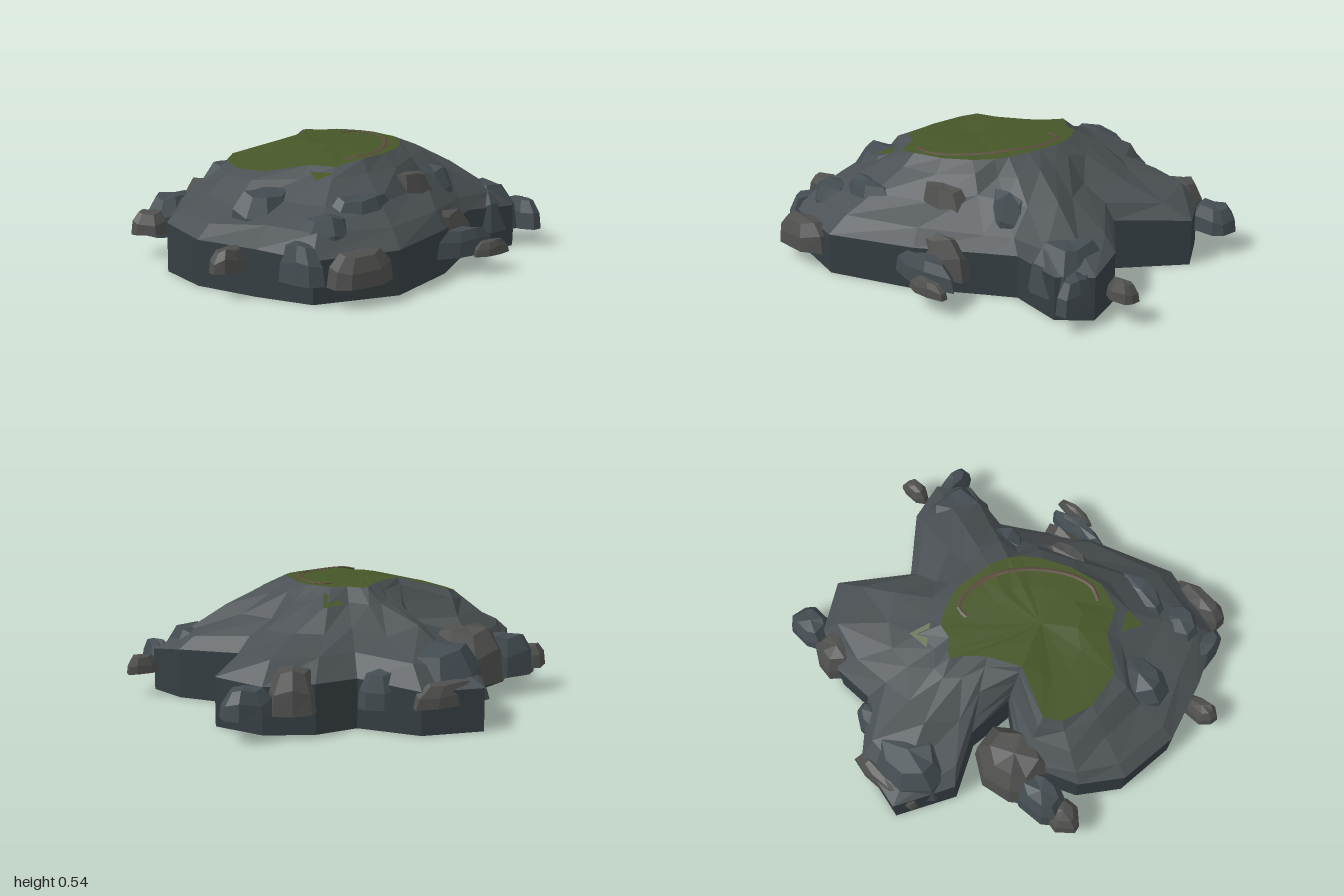
import * as THREE from 'three';

const mat = (color) => new THREE.MeshStandardMaterial({ color, flatShading: true, side: THREE.DoubleSide });

// small seeded generator, returns -1..1
function seeded(seed) {
  let s = seed * 7919 + 17;
  return () => {
    s = (s * 16807) % 2147483647;
    return (s / 2147483647) * 2 - 1;
  };
}

// faceted skin between closed rings of Vector3
function loft(rings) {
  const pos = [];
  const tri = (...pts) => pts.forEach((p) => pos.push(p.x, p.y, p.z));
  for (let r = 0; r < rings.length - 1; r++) {
    const lo = rings[r], hi = rings[r + 1], n = lo.length;
    for (let i = 0; i < n; i++) {
      const j = (i + 1) % n;
      tri(lo[i], hi[i], lo[j]);
      tri(lo[j], hi[i], hi[j]);
    }
  }
  const geo = new THREE.BufferGeometry();
  geo.setAttribute('position', new THREE.Float32BufferAttribute(pos, 3));
  geo.computeVertexNormals();
  return geo;
}

// height of the grassy top: falls away to the right side and the front
const topY = (x, z) => 0.54 - 0.27 * Math.max(0, -x - 0.2) - 0.12 * Math.max(0, z - 0.2);

// foot x, foot z, grass edge x, grass edge z, cliff height
const OUTLINE = [
  [0.58, -0.03, 0.27, 0, 0.24], [0.78, 0.22, 0.25, 0.1, 0.23],
  [0.83, 0.42, 0.24, 0.17, 0.2], [0.7, 0.53, 0.2, 0.26, 0.2],
  [0.45, 0.48, 0.16, 0.31, 0.2], [0.33, 0.55, 0.08, 0.37, 0.2],
  [0.05, 0.72, -0.05, 0.43, 0.2], [-0.35, 0.86, -0.2, 0.46, 0.19],
  [-0.72, 0.75, -0.33, 0.42, 0.18], [-0.82, 0.5, -0.38, 0.3, 0.2],
  [-0.9, 0.2, -0.53, 0.18, 0.2], [-0.86, -0.1, -0.55, 0, 0.22],
  [-0.72, -0.27, -0.5, -0.15, 0.22], [-0.45, -0.38, -0.43, -0.2, 0.24],
  [-0.22, -0.2, -0.21, -0.1, 0.28], [-0.19, -0.42, -0.06, -0.17, 0.24],
  [-0.3, -0.66, 0.02, -0.24, 0.2], [-0.15, -0.92, 0.06, -0.29, 0.19],
  [0.12, -0.85, 0.09, -0.27, 0.19], [0.3, -0.62, 0.13, -0.22, 0.22],
  [0.5, -0.62, 0.2, -0.2, 0.22], [0.7, -0.52, 0.23, -0.15, 0.21],
  [0.82, -0.3, 0.26, -0.08, 0.22],
];

// boulders: x, z, half width, half depth, bottom, top
const BOULDERS = [
  // front left outcrop
  [[0.63, 0.36, 0.2, 0.19, 0.08, 0.31], [0.92, 0.35, 0.08, 0.05, 0.11, 0.2], [0.79, 0.5, 0.06, 0.12, 0.08, 0.23]],
  // front ledges
  [[0.09, 0.63, 0.21, 0.08, 0.08, 0.27], [0.15, 0.74, 0.18, 0.06, 0.08, 0.2], [0.24, 0.82, 0.11, 0.035, 0.08, 0.15],
    [-0.34, 0.61, 0.19, 0.1, 0.18, 0.39], [0.02, 0.5, 0.17, 0.08, 0.2, 0.44], [0.3, 0.36, 0.14, 0.12, 0.2, 0.43]],
  // front right corner
  [[-0.56, 0.64, 0.15, 0.11, 0.15, 0.34], [-0.55, 0.84, 0.18, 0.08, 0.08, 0.22], [-0.72, 0.66, 0.07, 0.14, 0.08, 0.25],
    [-0.9, 0.42, 0.1, 0.06, 0.11, 0.21], [-0.6, 0.28, 0.18, 0.15, 0.2, 0.4]],
  // back right cluster
  [[-0.42, -0.38, 0.2, 0.17, 0.08, 0.34], [-0.62, -0.42, 0.16, 0.11, 0.09, 0.29], [-0.75, -0.41, 0.1, 0.08, 0.11, 0.22],
    [-0.12, -0.28, 0.1, 0.12, 0.1, 0.38]],
  // back spur
  [[-0.05, -0.7, 0.25, 0.18, 0.1, 0.36], [-0.03, -0.85, 0.2, 0.05, 0.12, 0.23], [0.22, -0.67, 0.1, 0.09, 0.1, 0.27]],
  // back left cluster
  [[0.57, -0.55, 0.13, 0.12, 0.1, 0.3], [0.78, -0.53, 0.13, 0.1, 0.1, 0.23]],
];
const CLUSTERS = ['frontLeftBoulders', 'frontLedges', 'frontRightBoulders', 'backRightBoulders', 'backSpurBoulders', 'backLeftBoulders'];

// chunky flat-bottomed stone tapering upward
function boulder([x, z, rx, rz, y0, y1], seed) {
  const rnd = seeded(seed), n = 8;
  const wobble = Array.from({ length: n }, () => [0.96 + 0.09 * rnd(), 0.25 * rnd(), rnd()]);
  const ring = (scale, t, lift) => wobble.map(([r, da, h], i) => {
    const a = ((i + 0.5 + da) / n) * Math.PI * 2;
    return new THREE.Vector3(
      x + Math.cos(a) * rx * r * scale,
      y0 + (y1 - y0) * (t + lift * h),
      z + Math.sin(a) * rz * r * scale);
  });
  return loft([ring(0, 0, 0), ring(1, 0, 0), ring(0.92, 0.5, 0.12), ring(0.6, 0.9, 0.08), ring(0, 0.97, 0)]);
}

export function createModel() {
  const group = new THREE.Group();
  const slopeMat = mat(0x4a5053), baseMat = mat(0x353e42), grassMat = mat(0x465628), pathMat = mat(0x5a4c3c);
  const stoneMats = [mat(0x434c51), mat(0x4f4f4e)];
  const add = (name, geo, material, parent = group) => {
    const mesh = new THREE.Mesh(geo, material);
    mesh.name = name;
    parent.add(mesh);
  };

  // vertical cliff foot and its underside
  const foot = OUTLINE.map(([x, z]) => new THREE.Vector3(x, 0, z));
  const rim = OUTLINE.map(([x, z, , , h]) => new THREE.Vector3(x, h, z));
  add('cliffFoot', loft([foot, rim]), baseMat);
  const floor = new THREE.ShapeGeometry(new THREE.Shape(OUTLINE.map(([x, z]) => new THREE.Vector2(x, z))));
  add('underside', floor.rotateX(Math.PI / 2), baseMat);

  // craggy slopes, rising in uneven steps to the grass edge
  const rnd = seeded(5);
  const edge = OUTLINE.map(([, , x, z]) => new THREE.Vector3(x, topY(x, z), z));
  const step = (t, rise, rough) => rim.map((p, i) => {
    const q = p.clone().lerp(edge[i], t + 0.05 * rnd());
    q.y = THREE.MathUtils.lerp(p.y, edge[i].y, rise) + rough * rnd();
    return q;
  });
  add('rockSlopes', loft([rim, step(0.18, 0.25, 0.02), step(0.55, 0.55, 0.025), step(0.83, 0.83, 0.015), edge]), slopeMat);

  // grassy top with a slight hollow
  const mid = new THREE.Vector3(-0.13, 0.525, 0.12);
  const inner = edge.map((p) => {
    const q = p.clone().lerp(mid, 0.45);
    q.y = topY(q.x, q.z) - 0.006 + 0.004 * rnd();
    return q;
  });
  add('grassTop', loft([edge, inner, edge.map(() => mid)]), grassMat);

  // grass tufts spilling over the edge
  const tuft = (pts) => loft([pts.map(([x, y, z]) => new THREE.Vector3(x, y, z)), pts.map(() => new THREE.Vector3(
    ...[0, 1, 2].map((k) => (pts[0][k] + pts[1][k] + pts[2][k]) / 3)))]);
  add('grassTuftBack', tuft([[0.3, 0.47, -0.31], [0.25, 0.52, -0.22], [0.19, 0.48, -0.31]]), grassMat);
  add('grassTuftFront', tuft([[-0.37, 0.46, 0.46], [-0.47, 0.44, 0.46], [-0.42, 0.46, 0.36]]), grassMat);

  // narrow worn path curving along the grass edge
  const curve = new THREE.CatmullRomCurve3([[0.14, -0.09], [0.2, -0.08], [0.22, 0.04], [0.17, 0.18], [0.06, 0.31],
    [-0.08, 0.4], [-0.18, 0.42], [-0.25, 0.39]].map(([x, z]) => new THREE.Vector3(x, 0, z)));
  const path = new THREE.TubeGeometry(curve, 28, 0.011, 4, false);
  const pp = path.attributes.position;
  for (let i = 0; i < pp.count; i++) pp.setY(i, topY(pp.getX(i), pp.getZ(i)) + pp.getY(i) * 0.4);
  path.computeVertexNormals();
  add('path', path, pathMat);

  // boulders grouped around the slopes
  BOULDERS.forEach((list, c) => {
    const cluster = new THREE.Group();
    cluster.name = CLUSTERS[c];
    list.forEach((b, i) => add('boulder', boulder(b, c * 10 + i + 1), stoneMats[(c + i) % 2], cluster));
    group.add(cluster);
  });
  return group;
}
